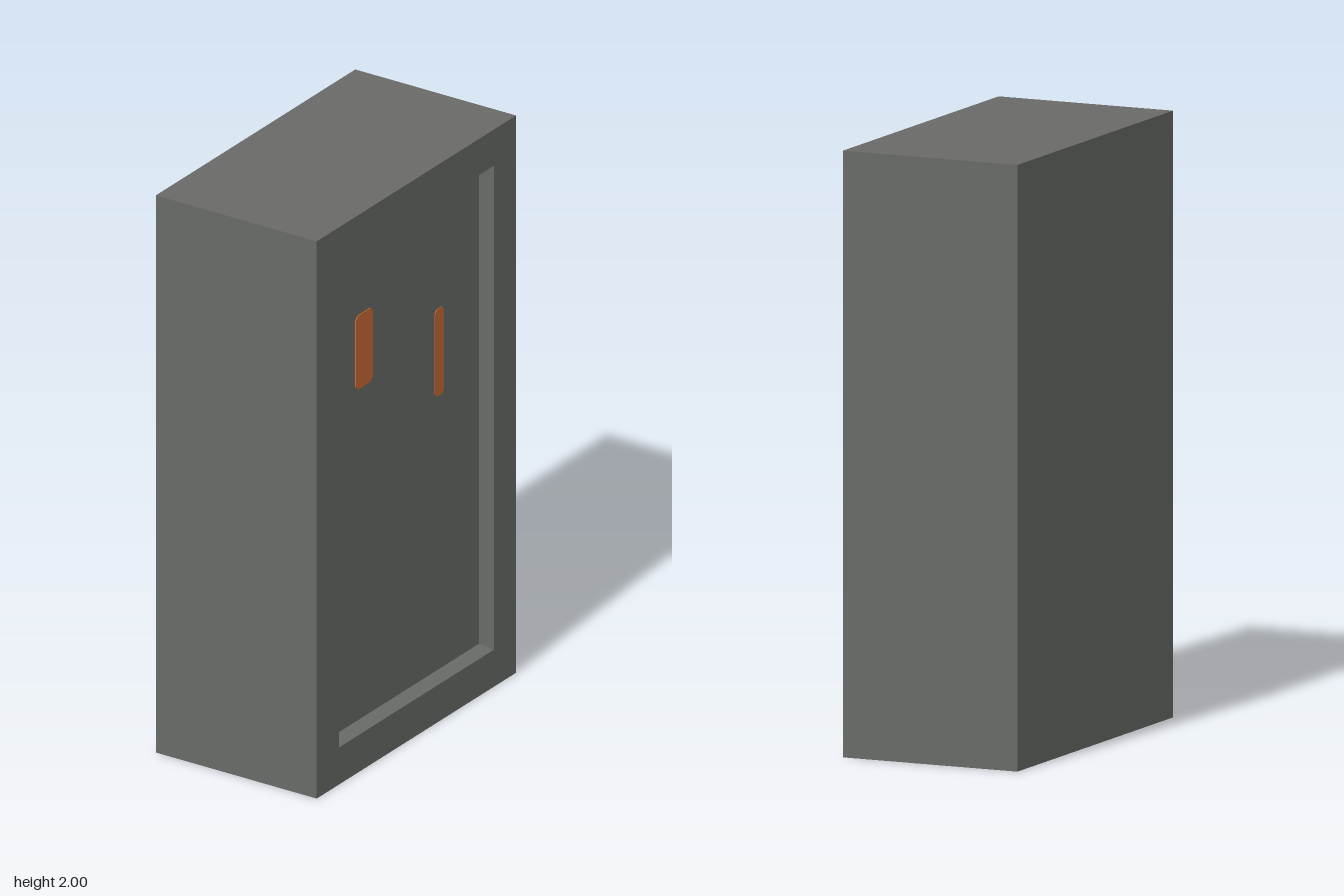
import * as THREE from 'three';

const FLOOR_X = 0.265; // plane of the recessed panel

// rectangular loop across the cabinet, counter-clockwise seen from +x
const loop = (x, z, y0, y1) => [[x, y0, z], [x, y0, -z], [x, y1, -z], [x, y1, z]];

function cabinetGeometry() {
  const loops = [
    loop(-0.315, 0.58, 0, 2), // plain side
    loop(0.315, 0.58, 0, 2), // outer edge of the rim
    loop(0.315, 0.45, 0.133, 1.87), // opening
    loop(FLOOR_X, 0.438, 0.146, 1.858), // recessed panel
  ];
  const pos = [];
  const quad = (a, b, c, d) => pos.push(...a, ...b, ...c, ...a, ...c, ...d);
  for (let i = 0; i < loops.length - 1; i++) {
    for (let j = 0; j < 4; j++) {
      const k = (j + 1) % 4;
      quad(loops[i][j], loops[i][k], loops[i + 1][k], loops[i + 1][j]);
    }
  }
  quad(...[...loops[0]].reverse());
  quad(...loops[loops.length - 1]);
  const geo = new THREE.BufferGeometry();
  geo.setAttribute('position', new THREE.Float32BufferAttribute(pos, 3));
  geo.computeVertexNormals();
  return geo;
}

// thin plate with clipped corners lying on the recessed panel
function plate(name, material, z, y, width, height, clip) {
  const w = width / 2, h = height / 2;
  const shape = new THREE.Shape([
    [-w + clip, -h], [w - clip, -h], [w, -h + clip], [w, h - clip],
    [w - clip, h], [-w + clip, h], [-w, h - clip], [-w, -h + clip],
  ].map(([px, py]) => new THREE.Vector2(px, py)));
  const geo = new THREE.ExtrudeGeometry(shape, { depth: 0.003, bevelEnabled: false });
  const mesh = new THREE.Mesh(geo, material);
  mesh.name = name;
  mesh.rotation.y = Math.PI / 2;
  mesh.position.set(FLOOR_X, y, z);
  return mesh;
}

export function createModel() {
  const grey = new THREE.MeshStandardMaterial({ color: 0x696b67 });
  grey.name = 'grey';
  const orange = new THREE.MeshStandardMaterial({ color: 0xc86a34 });
  orange.name = 'orange';

  const group = new THREE.Group();
  group.name = 'cabinet';
  const body = new THREE.Mesh(cabinetGeometry(), grey);
  body.name = 'cabinetBody';
  group.add(
    body,
    plate('widePlate', orange, 0.233, 1.467, 0.1, 0.265, 0.014),
    plate('narrowPlate', orange, -0.205, 1.286, 0.052, 0.312, 0.012),
  );
  return group;
}
